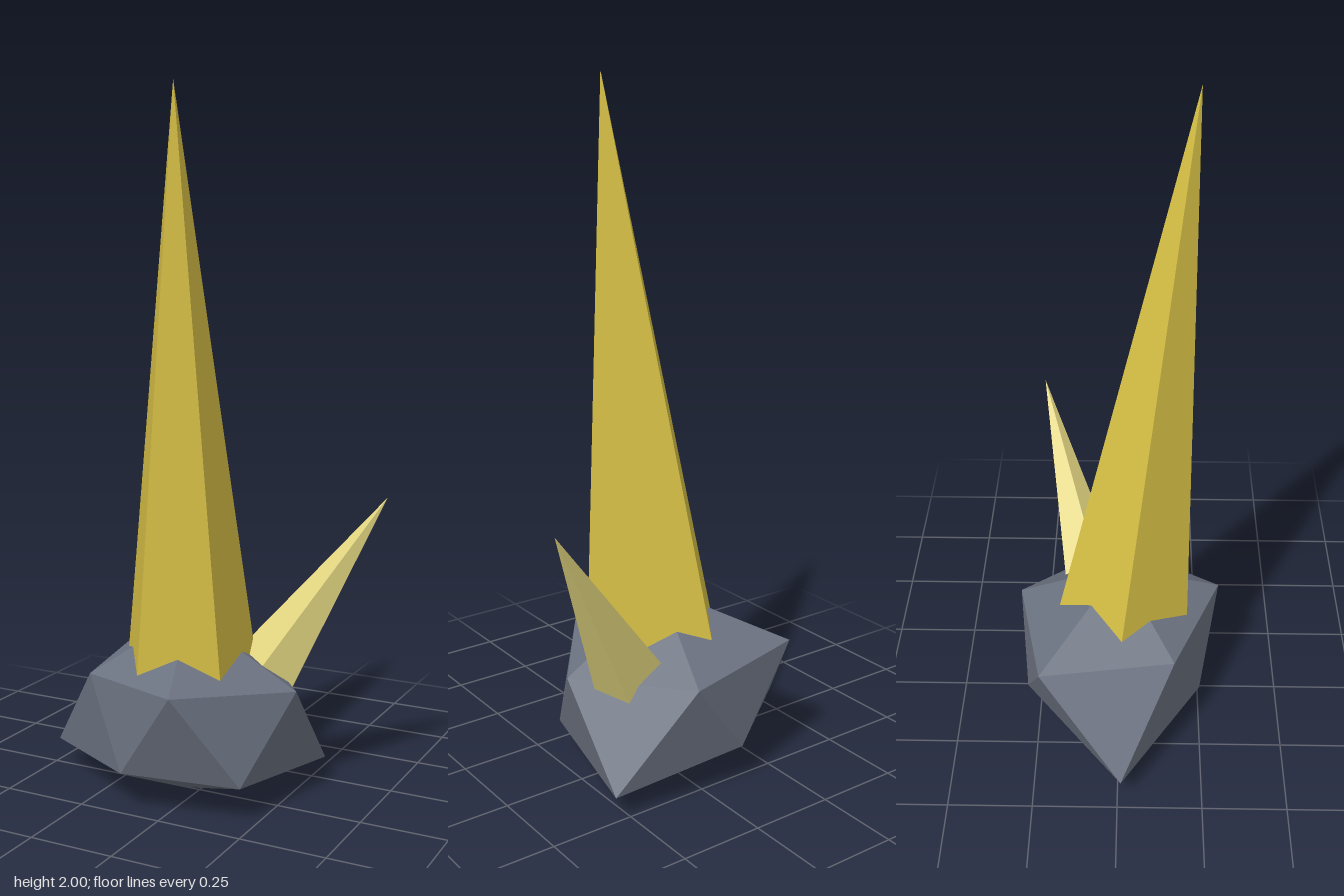
import * as THREE from 'three';

const rockMat = new THREE.MeshStandardMaterial({ name: 'slate grey', color: 0x6b7280, flatShading: true });
const goldMat = new THREE.MeshStandardMaterial({ name: 'gold', color: 0xd6bf45, flatShading: true });
const paleMat = new THREE.MeshStandardMaterial({ name: 'pale gold', color: 0xe2d57f, flatShading: true });

// Flat-shaded mesh from a list of triangle corners
function facetMesh(name, corners, material) {
  const geometry = new THREE.BufferGeometry();
  geometry.setAttribute('position', new THREE.Float32BufferAttribute(corners.flat(), 3));
  geometry.computeVertexNormals();
  const mesh = new THREE.Mesh(geometry, material);
  mesh.name = name;
  return mesh;
}

// Lumpy boulder: top point, two staggered rings of five, bottom point
function makeRock() {
  const top = [-0.035, 0.53, 0];
  const bottom = [-0.035, 0, 0];
  const upper = [[-0.34, 0.37, -0.23], [-0.27, 0.36, 0.165], [0.065, 0.375, 0.307], [0.3, 0.34, -0.01], [0.06, 0.35, -0.31]];
  const lower = [[-0.48, 0.08, 0.01], [-0.12, 0.115, 0.25], [0.215, 0.105, 0.175], [0.295, 0.07, -0.245], [-0.12, 0.115, -0.285]];
  const corners = [];
  for (let i = 0; i < 5; i++) {
    const j = (i + 1) % 5;
    corners.push(top, upper[i], upper[j]);
    corners.push(upper[i], lower[i], upper[j]);
    corners.push(upper[j], lower[i], lower[j]);
    corners.push(bottom, lower[j], lower[i]);
  }
  return facetMesh('rock', corners, rockMat);
}

// Five-sided crystal; its edges run on past the rock surface by the factor "sink"
function makeSpike(name, tip, ring, sink, material) {
  const base = ring.map(p => p.map((v, k) => v + (v - tip[k]) * sink));
  const centre = [0, 1, 2].map(k => base.reduce((sum, p) => sum + p[k], 0) / base.length);
  const corners = [];
  base.forEach((p, i) => {
    const q = base[(i + 1) % base.length];
    corners.push(tip, p, q, centre, q, p);
  });
  return facetMesh(name, corners, material);
}

export function createModel() {
  const model = new THREE.Group();
  model.name = 'crystalRock';
  model.add(makeRock());
  model.add(makeSpike('tallCrystal', [0.027, 2, 0.2],
    [[-0.23, 0.41, 0.01], [-0.09, 0.39, 0.205], [0.135, 0.39, 0.137], [0.135, 0.41, -0.09], [-0.085, 0.42, -0.18]],
    0.1, goldMat));
  model.add(makeSpike('smallCrystal', [0.475, 0.87, -0.245],
    [[0.13, 0.465, -0.09], [0.19, 0.395, -0.02], [0.26, 0.335, -0.085], [0.205, 0.31, -0.175], [0.105, 0.41, -0.175]],
    0.2, paleMat));
  return model;
}
